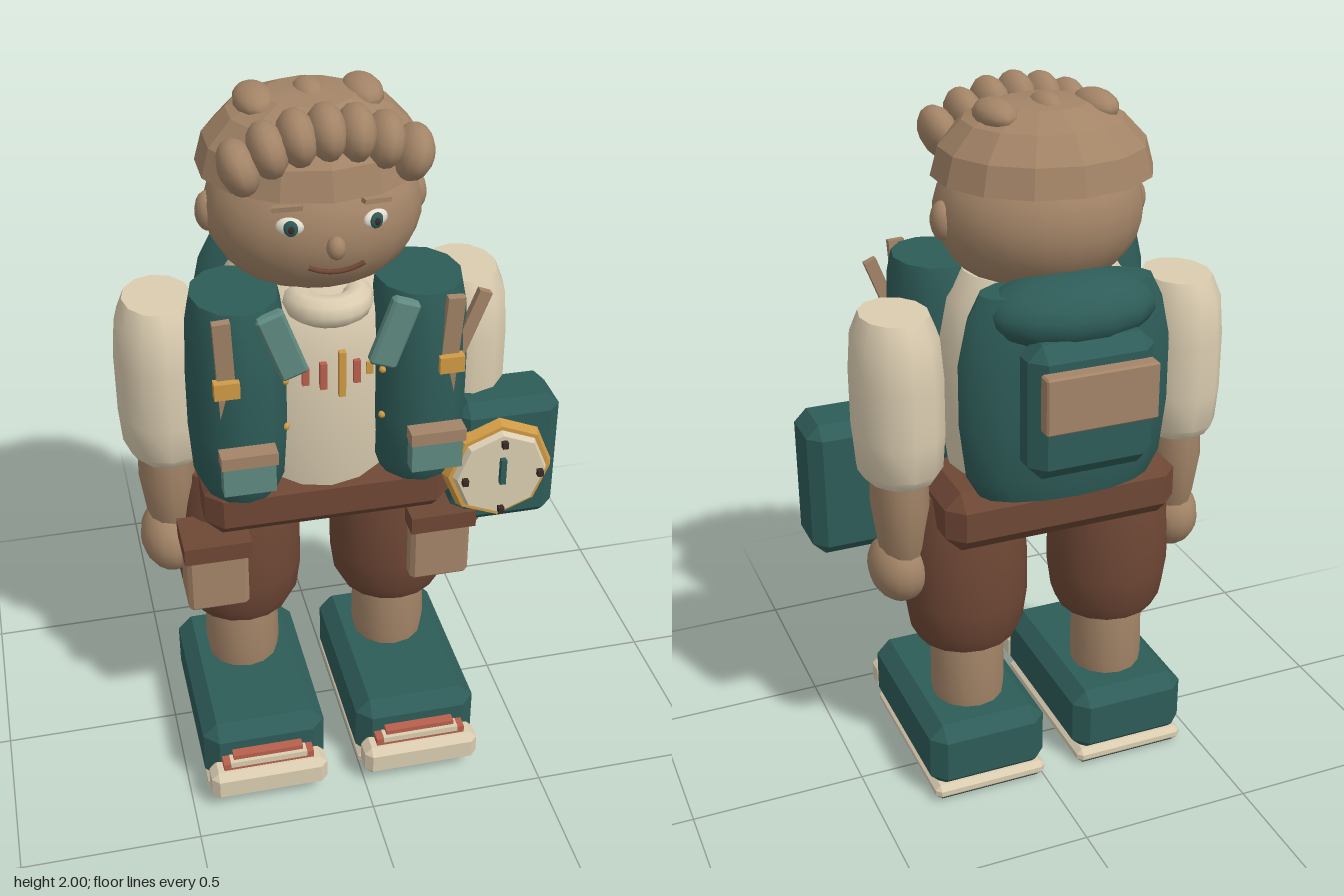
import * as THREE from 'three';
import { toCreasedNormals } from 'three/addons/utils/BufferGeometryUtils.js';
import { ConvexGeometry } from 'three/addons/geometries/ConvexGeometry.js';

const paint = (name, color) => Object.assign(new THREE.MeshStandardMaterial({ color }), { name });

export function createModel() {
  const skin = paint('tan', 0xa38467), cream = paint('cream', 0xdaccb0), teal = paint('teal', 0x2e5c58);
  const paleTeal = paint('paleTeal', 0x5f8a80), brown = paint('brown', 0x6e4735), gold = paint('gold', 0xd09a45);
  const red = paint('red', 0xb8604c), dark = paint('dark', 0x3a2a28), white = paint('white', 0xf0eadb);
  const sole = paint('darkTeal', 0x1f3633);

  // everything is symmetric about the body axis except the side bag
  const body = new THREE.Group();
  body.name = 'traveller';
  body.position.x = -0.057;

  const add = (name, geo, mat, x, y, z, rx = 0, ry = 0, rz = 0) => {
    const m = new THREE.Mesh(geo, mat);
    m.name = name;
    m.position.set(x, y, z);
    m.rotation.set(rx, ry, rz);
    body.add(m);
    return m;
  };
  const both = (fn) => [[1, 'left'], [-1, 'right']].forEach(([s, side]) => fn(s, side));
  const box = (w, h, d) => new THREE.BoxGeometry(w, h, d);
  const ball = (rx, ry, rz, n = 16) => new THREE.SphereGeometry(1, n, Math.round(n * 0.75)).scale(rx, ry, rz);

  // box with flat chamfers of size c
  const chamfer = (w, h, d, c) => {
    const pts = [];
    for (const i of [-1, 1]) for (const j of [-1, 1]) for (const k of [-1, 1]) {
      const x = w / 2, y = h / 2, z = d / 2;
      pts.push(new THREE.Vector3(i * x, j * (y - c), k * (z - c)),
        new THREE.Vector3(i * (x - c), j * y, k * (z - c)),
        new THREE.Vector3(i * (x - c), j * (y - c), k * z));
    }
    return new ConvexGeometry(pts);
  };

  // closed oval turning; profile is [radius factor, y] from bottom to top
  const oval = (rx, rz, profile, sides = 14) => {
    const p = [[0, profile[0][1]], ...profile, [0, profile.at(-1)[1]]].map(([r, y]) => new THREE.Vector2(r, y));
    return toCreasedNormals(new THREE.LatheGeometry(p, sides).scale(rx, 1, rz), 0.75);
  };

  // head and face
  add('head', ball(0.28, 0.217, 0.257, 20), skin, 0, 1.68, 0);
  add('nose', ball(0.024, 0.03, 0.026, 12), skin, 0, 1.677, 0.266);
  both((s, side) => {
    add(side + 'Ear', ball(0.032, 0.053, 0.038, 12), skin, s * 0.27, 1.677, -0.01);
    add(side + 'EyeWhite', ball(0.035, 0.024, 0.014, 12), white, s * 0.106, 1.728, 0.23, 0, s * 0.35, 0);
    add(side + 'Iris', ball(0.018, 0.021, 0.008, 12), teal, s * 0.106, 1.728, 0.242, 0, s * 0.3, 0);
    add(side + 'Pupil', ball(0.008, 0.01, 0.004, 8), dark, s * 0.106, 1.728, 0.25);
    add(side + 'Brow', box(0.075, 0.012, 0.02), skin, s * 0.11, 1.774, 0.222, 0, s * 0.3, -s * 0.12);
  });
  const smile = new THREE.QuadraticBezierCurve3(new THREE.Vector3(-0.07, 0.012, 0),
    new THREE.Vector3(0, -0.022, 0.004), new THREE.Vector3(0.07, 0.012, 0));
  add('mouth', new THREE.TubeGeometry(smile, 10, 0.006, 6), brown, 0, 1.622, 0.27);

  // hair: faceted cap, a fringe of curls, three curls on top
  const cap = [[1, 0], [0.93, 0.075], [0.72, 0.14], [0.4, 0.178]];
  const capPoints = [[0, 0], ...cap, [0, 0.19]].map(([r, y]) => new THREE.Vector2(r, y));
  const capGeo = new THREE.LatheGeometry(capPoints, 14).scale(0.293, 1, 0.272).toNonIndexed();
  capGeo.computeVertexNormals();
  add('hairCap', capGeo, skin, 0, 1.785, -0.027);
  for (let i = -3; i <= 3; i++) {
    const t = i / 3;
    add('fringeCurl', ball(0.05, 0.07, 0.085, 12), skin, t * 0.215, 1.93 - 0.07 * t * t, 0.157, 0, 0, -t * 0.3);
  }
  for (const i of [-1, 0, 1]) {
    add('topCurl', ball(i ? 0.053 : 0.043, 0.04, i ? 0.09 : 0.07, 12), skin, i * 0.137, i ? 1.945 : 1.95, -0.045);
  }

  // shirt
  add('shirt', oval(0.28, 0.235, [[0.9, 0.93], [1, 1.1], [1, 1.35], [0.92, 1.46], [0.75, 1.53]], 20), cream, 0, 0, 0);
  add('collar', new THREE.TorusGeometry(0.075, 0.042, 10, 20).rotateX(Math.PI / 2), cream, 0, 1.492, 0.17);
  [[-0.072, 0.05, red], [-0.027, 0.075, red], [0.022, 0.13, gold], [0.062, 0.065, red], [0.098, 0.035, gold]]
    .forEach(([x, h, m]) => add('shirtBar', box(0.018, h, 0.02), m, x, 1.305, 0.238 - x * x * 2));

  // vest and its hardware
  const panel = oval(0.132, 0.16, [[0.78, 0.97], [0.93, 1.02], [1, 1.16], [1, 1.32], [0.95, 1.47], [0.85, 1.535]], 12);
  both((s, side) => {
    add(side + 'VestPanel', panel, teal, s * 0.238, 0, 0.158);
    add(side + 'Lapel', chamfer(0.075, 0.19, 0.035, 0.008), paleTeal, s * 0.143, 1.44, 0.29, 0, 0, s * -0.35);
    add(side + 'Strap', box(0.045, 0.29, 0.022), skin, s * 0.288, 1.388, 0.297, 0.08, 0, s * -0.05);
    add(side + 'Buckle', box(0.065, 0.045, 0.03), gold, s * 0.288, 1.345, 0.312);
    add(side + 'VestPocket', box(0.135, 0.1, 0.045), paleTeal, s * 0.245, 1.11, 0.345);
    add(side + 'VestPocketFlap', box(0.145, 0.035, 0.05), skin, s * 0.245, 1.163, 0.352);
    for (const y of [1.17, 1.307]) add(side + 'Button', ball(0.01, 0.01, 0.01, 8), gold, s * 0.127, y, 0.245);
  });
  add('bagStrap', box(0.035, 0.31, 0.022), skin, 0.335, 1.36, 0.245, 0, 0, -0.37);
  add('vestBack', oval(0.3, 0.12, [[0.82, 0.965], [0.94, 1.03], [1, 1.18], [1, 1.35], [0.92, 1.46], [0.8, 1.53]], 16),
    teal, 0, 0, -0.185);

  // hood and back pocket
  add('hood', ball(0.235, 0.1, 0.155, 14), teal, 0, 1.475, -0.21);
  add('backPocket', chamfer(0.35, 0.37, 0.13, 0.04), teal, 0, 1.255, -0.32);
  add('backPocketFlap', chamfer(0.31, 0.155, 0.045, 0.005), skin, 0, 1.302, -0.402);

  // arms
  const sleeve = oval(0.124, 0.155, [[0.8, 0.99], [0.94, 1.02], [1, 1.12], [1, 1.28], [0.93, 1.39], [0.74, 1.45]], 12);
  const forearm = oval(0.08, 0.108, [[0.6, 0.72], [0.8, 0.78], [1, 0.9], [0.95, 1.02]], 12);
  both((s, side) => {
    add(side + 'Sleeve', sleeve, cream, s * 0.411, 0, -0.015);
    add(side + 'Forearm', forearm, skin, s * 0.414, 0, -0.015);
    add(side + 'Hand', ball(0.085, 0.103, 0.112), skin, s * 0.418, 0.697, 0);
  });

  // shorts, legs and shoes
  add('waistband', chamfer(0.68, 0.175, 0.44, 0.045), brown, 0, 0.892, 0);
  const shortLeg = oval(0.178, 0.17, [[0.8, 0.445], [0.93, 0.49], [1, 0.58], [1, 0.7], [0.93, 0.83], [0.8, 0.92]], 16);
  both((s, side) => {
    const x = s * 0.223;
    add(side + 'ShortsLeg', shortLeg, brown, x, 0, -0.005);
    add(side + 'CargoPocket', chamfer(0.17, 0.185, 0.14, 0.012), skin, s * 0.316, 0.66, 0.14);
    add(side + 'CargoFlap', box(0.185, 0.052, 0.15), brown, s * 0.316, 0.775, 0.155);
    add(side + 'Shin', oval(0.108, 0.11, [[0.9, 0.2], [1, 0.28], [0.98, 0.4], [0.92, 0.5]], 14), skin, x, 0, -0.01);
    add(side + 'Shoe', chamfer(0.35, 0.205, 0.562, 0.04), teal, x, 0.1375, 0.076);
    add(side + 'SoleRim', chamfer(0.34, 0.045, 0.55, 0.015), cream, x, 0.0295, 0.07);
    add(side + 'SolePad', box(0.3, 0.009, 0.51), sole, x, 0.0045, 0.07);
    add(side + 'ToeCap', chamfer(0.335, 0.095, 0.085, 0.02), cream, x, 0.083, 0.378);
    add(side + 'ToeStripe', box(0.26, 0.025, 0.045), red, x, 0.14, 0.372);
    add(side + 'LaceBar', box(0.22, 0.018, 0.035), cream, x, 0.148, 0.378);
    add(side + 'TopStripe', box(0.2, 0.014, 0.03), red, x, 0.165, 0.37);
  });

  // side bag with a dial on its front
  add('sideBag', chamfer(0.295, 0.39, 0.19, 0.035), teal, 0.495, 0.935, 0.122);
  const disc = (r1, r2, h) => {
    const g = new THREE.CylinderGeometry(r1, r2, h, 8).toNonIndexed().rotateX(Math.PI / 2);
    g.computeVertexNormals();
    return g;
  };
  const dx = 0.462, dy = 0.937;
  add('dialRim', disc(0.145, 0.157, 0.03), gold, dx, dy, 0.23);
  add('dialFace', disc(0.125, 0.135, 0.02), cream, dx, dy, 0.252);
  for (let i = 0; i < 4; i++) {
    const a = i * Math.PI / 2;
    add('dialMark', box(0.016, 0.018, 0.016), dark, dx + Math.cos(a) * 0.106, dy + Math.sin(a) * 0.106, 0.276);
  }
  add('dialHand', box(0.016, 0.078, 0.016), teal, dx, 0.955, 0.272);

  const group = new THREE.Group();
  group.add(body);
  return group;
}
